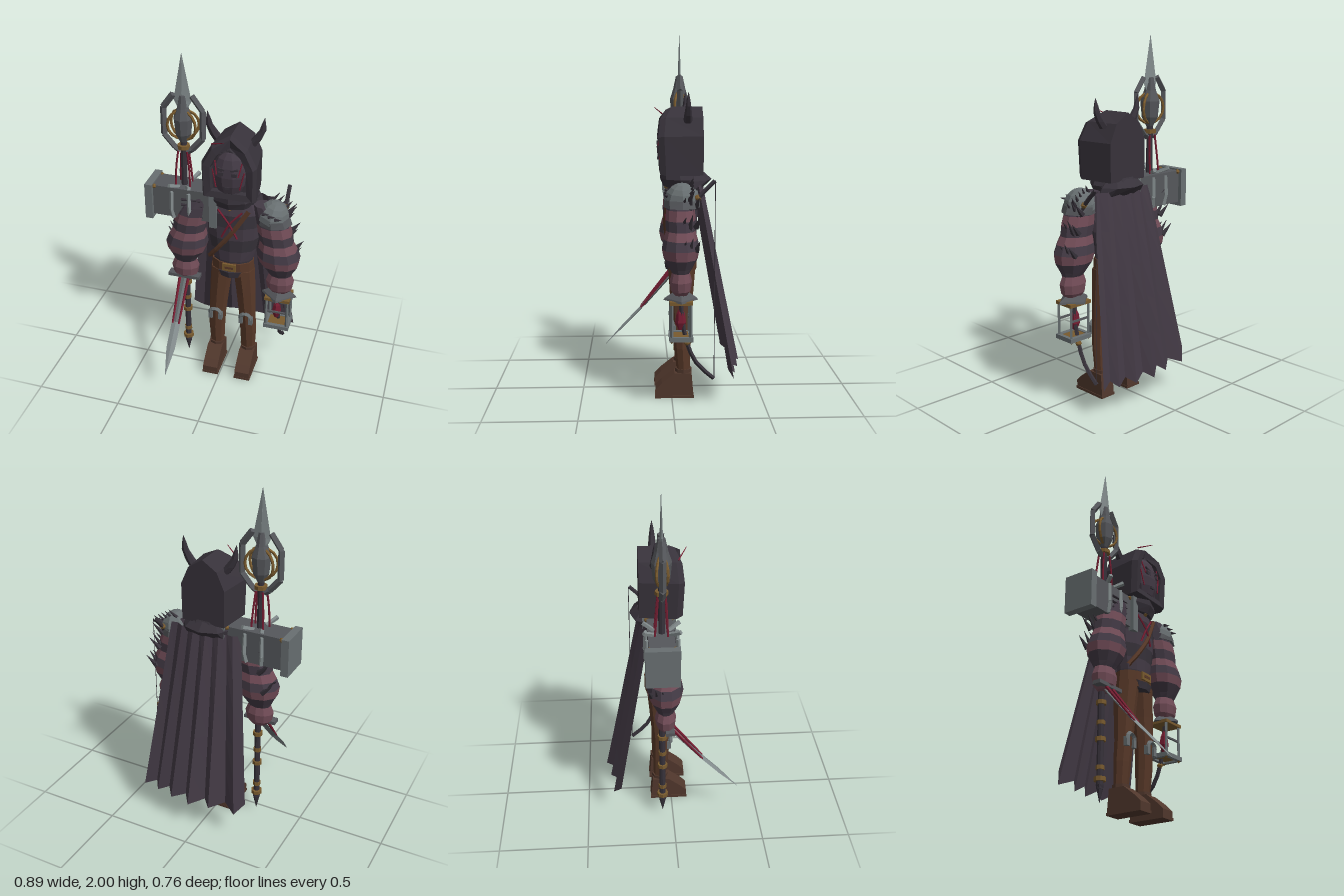
import * as THREE from 'three';

const mat = (name, color) => Object.assign(new THREE.MeshStandardMaterial({ color }), { name });
const V = (x, y, z) => new THREE.Vector3(x, y, z);

export function createModel() {
  const root = new THREE.Group();
  root.name = 'hoodedWarrior';
  const cloth = mat('dark plum cloth', 0x433a45), charcoal = mat('charcoal', 0x37323a);
  const rose = mat('dusty rose', 0x704b56), leather = mat('brown leather', 0x573828);
  const bootHide = mat('dark boot leather', 0x50372c);
  const steel = mat('steel', 0x686f71), pale = mat('pale steel', 0x828b8c);
  const gold = mat('old gold', 0x785a2e), red = mat('crimson', 0x741d31), iron = mat('dark iron', 0x55575b);
  cloth.side = THREE.DoubleSide;
  const CX = 0.045, CZ = -0.06;

  // Adds a mesh with faceted normals
  function add(name, geo, material, x = 0, y = 0, z = 0) {
    const g = geo.index ? geo.toNonIndexed() : geo;
    g.computeVertexNormals();
    const m = new THREE.Mesh(g, material);
    m.name = name;
    m.position.set(x, y, z);
    root.add(m);
    return m;
  }
  const box = (name, w, h, d, m, x, y, z) => add(name, new THREE.BoxGeometry(w, h, d), m, x, y, z);

  // Skins closed rings of points and caps both ends
  function skin(rings) {
    const p = [], n = rings[0].length;
    const tri = (...vs) => vs.forEach(v => p.push(v.x, v.y, v.z));
    const mid = r => r.reduce((s, v) => s.add(v), V(0, 0, 0)).divideScalar(n);
    const last = rings[rings.length - 1], c0 = mid(rings[0]), c1 = mid(last);
    for (let i = 0; i < n; i++) {
      const j = (i + 1) % n;
      for (let k = 0; k + 1 < rings.length; k++) {
        const a = rings[k], b = rings[k + 1];
        tri(a[i], a[j], b[j]);
        tri(a[i], b[j], b[i]);
      }
      tri(c0, rings[0][j], rings[0][i]);
      tri(c1, last[i], last[j]);
    }
    return new THREE.BufferGeometry().setAttribute('position', new THREE.Float32BufferAttribute(p, 3));
  }
  // Horizontal elliptical sections [x, y, z, rx, rz], listed upward
  function loft(sections, sides) {
    return skin(sections.map(([x, y, z, rx, rz]) => Array.from({ length: sides }, (_, i) => {
      const a = i / sides * Math.PI * 2;
      return V(x + rx * Math.sin(a), y, z + rz * Math.cos(a));
    })));
  }
  // Straight rod or spike between two points
  function bar(name, a, b, r0, r1, m, sides = 5) {
    const A = V(...a), B = V(...b), d = B.clone().sub(A);
    const o = add(name, new THREE.CylinderGeometry(r1, r0, d.length(), sides), m);
    o.position.copy(A.add(B).multiplyScalar(0.5));
    o.quaternion.setFromUnitVectors(V(0, 1, 0), d.normalize());
  }
  function tube(name, pts, r, m, seg = 10) {
    add(name, new THREE.TubeGeometry(new THREE.CatmullRomCurve3(pts.map(p => V(...p))), seg, r, 5), m);
  }

  // Hood: deep shell with a recessed opening
  const rim = [[.15, 1.24, .05], [.153, 1.45, .06], [.1, 1.55, .05], [0, 1.605, .015], [-.1, 1.55, .05], [-.153, 1.45, .06], [-.15, 1.24, .05]];
  const hood = (sx, sy, zf) => rim.map(([x, y, z]) => V(CX + x * sx, 1.39 + (y - 1.39) * sy, zf(z)));
  add('hood', skin([hood(.84, 1, () => -.172), hood(1, 1, z => z - .02), hood(.9, .93, z => z + .012),
    hood(.66, .7, z => z + .005), hood(.62, .66, () => .03)]), charcoal);
  add('scarf', loft([[CX, 1.17, CZ, .12, .1], [CX, 1.215, -.07, .14, .13], [CX, 1.265, -.06, .11, .115]], 9), charcoal);
  add('capeCollar', loft([[CX, 1.16, -.11, .16, .06], [CX, 1.21, -.12, .14, .105], [CX, 1.25, -.12, .1, .06]], 8), charcoal);

  // Mask with eyes, mouth and scratches
  const face = add('mask', new THREE.SphereGeometry(1, 10, 8), cloth, CX, 1.385, .012);
  face.scale.set(.1, .14, .068);
  for (const s of [-1, 1]) {
    box('eye', .03, .02, .009, charcoal, CX + s * .036, 1.408, .072);
    box('brow', .042, .009, .009, charcoal, CX + s * .037, 1.435, .069).rotation.z = s * .25;
    bar('maskScratch', [CX + s * .075, 1.475, .052], [CX + s * .06, 1.4, .072], .004, .004, red);
    bar('maskScratch', [CX + s * .088, 1.42, .054], [CX + s * .066, 1.32, .064], .004, .004, red);
    // Horns
    const horn = [[.085, 1.52, .034], [.118, 1.56, .029], [.147, 1.61, .02], [.152, 1.645, .013], [.157, 1.685, .001]];
    add('horn', loft(horn.map(([x, y, r]) => [CX + s * x, y, -.088, r, r * .75]), 6), charcoal);
  }
  box('maskMouth', .026, .014, .009, charcoal, CX, 1.325, .072);
  bar('hoodThorn', [-.05, 1.56, .04], [.03, 1.6, .088], .004, .002, red);

  // Torso in cloth bands
  const body = [[.74, .115, .075], [.81, .118, .078], [.88, .135, .082], [.96, .15, .087], [1.04, .155, .088], [1.12, .155, .085], [1.19, .125, .07]]
    .map(([y, rx, rz]) => [CX, y, CZ, rx, rz]);
  for (let i = 0; i < 6; i++) add('torsoBand', loft(body.slice(i, i + 2), 12), i % 2 ? cloth : charcoal);
  tube('chestStrap', [[.15, 1.16, .005], [.05, 1.0, .028], [-.03, .89, .02], [-.08, .82, -.005]], .014, leather);
  for (const s of [-1, 1])
    tube('chestCord', [[CX + s * .07, 1.15, .015], [CX, 1.07, .03], [CX - s * .045, .98, .027]], .006, red, 6);
  add('clasp', new THREE.OctahedronGeometry(.014), gold, CX, 1.165, .025);
  add('belt', loft([[CX, .71, CZ, .128, .085], [CX, .8, CZ, .125, .087]], 12), leather);
  box('buckle', .08, .046, .012, gold, CX, .777, .027);
  box('buckleInset', .05, .014, .008, leather, CX, .777, .032);
  add('tunicFlap', loft([[CX, .705, -.02, .07, .05], [CX, .745, -.02, .09, .056]], 8), charcoal);

  // Legs, knee guards and boots
  for (const s of [-1, 1]) {
    const x = d => CX + s * d;
    add('leg', loft([[x(.097), .12, -.068, .042, .036], [x(.098), .28, -.06, .05, .045], [x(.092), .4, -.055, .052, .05],
      [x(.08), .57, -.058, .06, .062], [x(.064), .74, CZ, .066, .075]], 8), leather);
    add('kneeGuard', new THREE.TorusGeometry(.032, .014, 4, 6, Math.PI), steel, x(.094), .4, -.006);
    for (const e of [-1, 1]) box('kneeTab', .024, .05, .024, steel, x(.094) + e * .03, .385, -.012);
    const boot = new THREE.Shape([[.09, 0], [.09, .05], [.055, .085], [-.015, .14], [-.11, .14], [-.122, 0]].map(p => new THREE.Vector2(...p)));
    const g = new THREE.ExtrudeGeometry(boot, { depth: .09, bevelEnabled: false }).rotateY(-Math.PI / 2).translate(.045, 0, 0);
    add('boot', g, bootHide, x(.1));
    box('bootSole', .098, .015, .215, bootHide, x(.1), .0075, -.015);
    add('bootCuff', loft([[x(.098), .13, -.066, .046, .045], [x(.098), .16, -.066, .047, .047]], 8), bootHide);
  }

  // Striped puffed sleeves with clusters of thorns
  const sleeve = [[.62, .285, .045], [.65, .285, .074], [.7, .285, .083], [.745, .285, .066], [.77, .283, .078], [.82, .277, .112],
    [.87, .272, .125], [.92, .265, .113], [.965, .257, .097], [1.02, .247, .1], [1.075, .235, .095], [1.13, .215, .085], [1.19, .18, .06]];
  for (const s of [-1, 1]) {
    const rings = sleeve.map(([y, x, r]) => [CX + s * x, y, -.042, r, r * (y < .76 ? .72 : .8)]);
    rings.slice(1).forEach((r, i) => add('sleeveBand', loft([rings[i], r], 10), i < 3 || (i % 2 && i < 11 && i > 4) ? rose : cloth));
    for (const [x, y] of [[.335, .87], [.31, .99], [.285, 1.09]])
      for (let k = 0; k < 3; k++) {
        const z = -.12 + k * .035, o = k % 2 * .015;
        bar('sleeveThorn', [CX + s * x, y - o, z], [CX + s * (x + .058), y + .06 + o, z - .015], .017, .001, charcoal);
      }
  }

  // Left shoulder armour
  const dome = add('pauldron', new THREE.SphereGeometry(1, 8, 5, 0, Math.PI * 2, 0, Math.PI * .55), steel, .275, 1.12, -.05);
  dome.scale.set(.09, .095, .095);
  dome.rotation.z = -.2;
  add('pauldronPlate', loft([[.285, 1.085, -.05, .1, .095], [.28, 1.125, -.05, .088, .095]], 8), iron);
  for (let i = 0; i < 5; i++) {
    const x = .25 + i * .024, y = 1.205 - i * .014;
    bar('pauldronThorn', [x, y - .02, -.085], [x + .045, y + .035, -.11], .014, .001, charcoal);
    if (i < 3) bar('pauldronThorn', [.23 + i * .035, 1.17 - i * .012, .03], [.27 + i * .035, 1.18 - i * .012, .04], .01, .001, charcoal);
  }

  // Pleated cape
  const hem = [[-.28, -.3], [-.23, -.345], [-.155, -.3], [-.075, -.36], [-.035, -.325], [.045, -.385], [.085, -.335],
    [.165, -.367], [.205, -.318], [.27, -.342], [.3, -.3], [.37, -.325]];
  const cape = new THREE.PlaneGeometry(1, 1, 11, 5), cp = cape.attributes.position;
  for (let i = 0; i < cp.count; i++) {
    const c = i % 12, t = Math.floor(i / 12) / 5, u = c / 11, ridge = c % 2;
    const topX = -.16 + .42 * u, topZ = -.125 - .035 * Math.sin(u * Math.PI) - ridge * .015;
    const endY = c === 0 ? .23 : ridge ? .17 : .2;
    cp.setXYZ(i, topX + (hem[c][0] - topX) * t, 1.19 + (endY - 1.19) * t, topZ + (hem[c][1] - topZ) * t);
  }
  add('cape', cape, cloth);

  // Polearm shaft
  const PX = -.24;
  bar('polearmShaft', [PX, .1, CZ], [PX, 1.5, CZ], .018, .018, charcoal, 8);
  bar('polearmFoot', [PX, .12, CZ], [PX, .03, CZ], .022, .001, charcoal, 6);
  for (const [y, r] of [[.15, .032], [.21, .023], [.36, .028], [.45, .023], [.56, .028], [1.47, .035]])
    add('polearmRing', new THREE.CylinderGeometry(r, r, .022, 8), gold, PX, y, CZ);
  // Caged head and blade
  add('polearmCore', loft([[PX, 1.5, CZ, .02, .02], [PX, 1.55, CZ, .045, .045], [PX, 1.64, CZ, .054, .054], [PX, 1.7, CZ, .03, .035], [PX, 1.77, CZ, .018, .02]], 8), iron);
  for (const turn of [-.35, .35])
    add('cageRing', new THREE.TorusGeometry(.085, .008, 5, 16), gold, PX, 1.6, CZ).rotation.y = turn;
  for (const s of [-1, 1]) {
    const frame = [[.02, 1.44], [.05, 1.46], [.11, 1.53], [.11, 1.69], [.052, 1.77]];
    for (let i = 0; i < 4; i++)
      bar('cageFrame', [PX + s * frame[i][0], frame[i][1], CZ], [PX + s * frame[i + 1][0], frame[i + 1][1], CZ], .018, .018, iron, 4);
    tube('hangingCord', [[PX + s * .025, 1.45, -.04], [PX + s * .037, 1.35, -.035], [PX + s * .042, 1.22, -.03]], .006, red, 6);
    tube('hangingCord', [[PX + s * .02, 1.45, -.08], [PX + s * .03, 1.33, -.09], [PX + s * .035, 1.22, -.1]], .006, red, 6);
  }
  add('polearmBlade', loft([[PX, 1.67, CZ, .015, .02], [PX, 1.74, CZ, .05, .01], [PX, 2, CZ, .001, .001]], 4), pale);

  // Hammer block on the polearm
  box('hammerBlock', .35, .185, .14, iron, PX, 1.142, -.065);
  for (const s of [-1, 1]) {
    box('hammerEnd', .043, .215, .182, steel, PX + s * .188, 1.135, -.065);
    for (const z of [-.133, .001])
      add('hammerBolt', new THREE.OctahedronGeometry(.014, 1), gold, PX + s * .16, 1.228, z);
    for (const f of [-1, 1]) {
      const at = (r, y) => [PX + s * r * .52, y, CZ + f * r * .87];
      [[at(.085, 1.05), at(.1, 1.11)], [at(.1, 1.11), at(.095, 1.22)], [at(.112, 1.265), at(.04, 1.235)]]
        .forEach(([a, b]) => bar('hammerProng', a, b, .013, .011, pale, 4));
    }
  }
  for (let k = 0; k < 4; k++)
    bar('hammerSpine', [PX, 1.07 + k * .034, .006], [PX + .125, 1.075 + k * .034, .012], .009, .003, charcoal);

  // Wrist blade
  box('bladeGuard', .19, .02, .05, iron, PX, .64, -.02);
  add('bladeTip', loft([[PX, .185, .378, .001, .001], [PX, .3, .27, .026, .01], [PX, .42, .155, .027, .012]], 4), pale);
  add('bladeRoot', loft([[PX, .42, .155, .024, .014], [PX, .63, -.03, .026, .016]], 4), steel);
  for (const s of [-1, 1]) bar('bladeVein', [PX + s * .019, .41, .168], [PX + s * .027, .66, -.03], .006, .01, red);

  // Lantern
  const LX = .328, LZ = -.042;
  add('lanternRoof', loft([[LX, .597, LZ, .104, .092], [LX, .608, LZ, .098, .086], [LX, .645, LZ, .035, .032]], 4), iron);
  box('lanternTopPlate', .148, .018, .122, gold, LX, .592, LZ);
  for (const s of [-1, 1]) {
    box('lanternBaseRail', .15, .024, .022, steel, LX, .397, LZ + s * .052);
    box('lanternBaseRail', .022, .024, .125, steel, LX + s * .064, .397, LZ);
    box('lanternMidRail', .13, .01, .01, iron, LX, .5, LZ + s * .048);
    for (const f of [-1, 1]) {
      bar('lanternPost', [LX + s * .062, .4, LZ + f * .05], [LX + s * .062, .59, LZ + f * .05], .009, .009, steel, 4);
      add('lanternFoot', new THREE.OctahedronGeometry(.014), gold, LX + s * .062, .388, LZ + f * .05);
    }
  }
  box('lanternFloor', .12, .01, .1, gold, LX, .4, LZ);
  add('lanternFlame', loft([[LX - .01, .43, LZ, .012, .012], [LX - .01, .47, LZ, .028, .03], [LX - .01, .52, LZ, .02, .022], [LX - .01, .56, LZ, .002, .002]], 6), red);

  // Bow and string
  const BX = .325;
  tube('bow', [[BX, .16, -.22], [BX, .25, -.125], [BX, .4, -.065], [BX, .69, -.04], [BX, .98, -.065], [BX, 1.13, -.125], [BX, 1.23, -.22]], .012, charcoal, 18);
  bar('bowString', [BX, .16, -.222], [BX, 1.23, -.222], .002, .002, charcoal, 4);
  for (const [y, z] of [[.36, -.077], [1.14, -.13]]) add('bowBinding', new THREE.OctahedronGeometry(.018, 1), gold, BX, y, z);

  return root;
}
